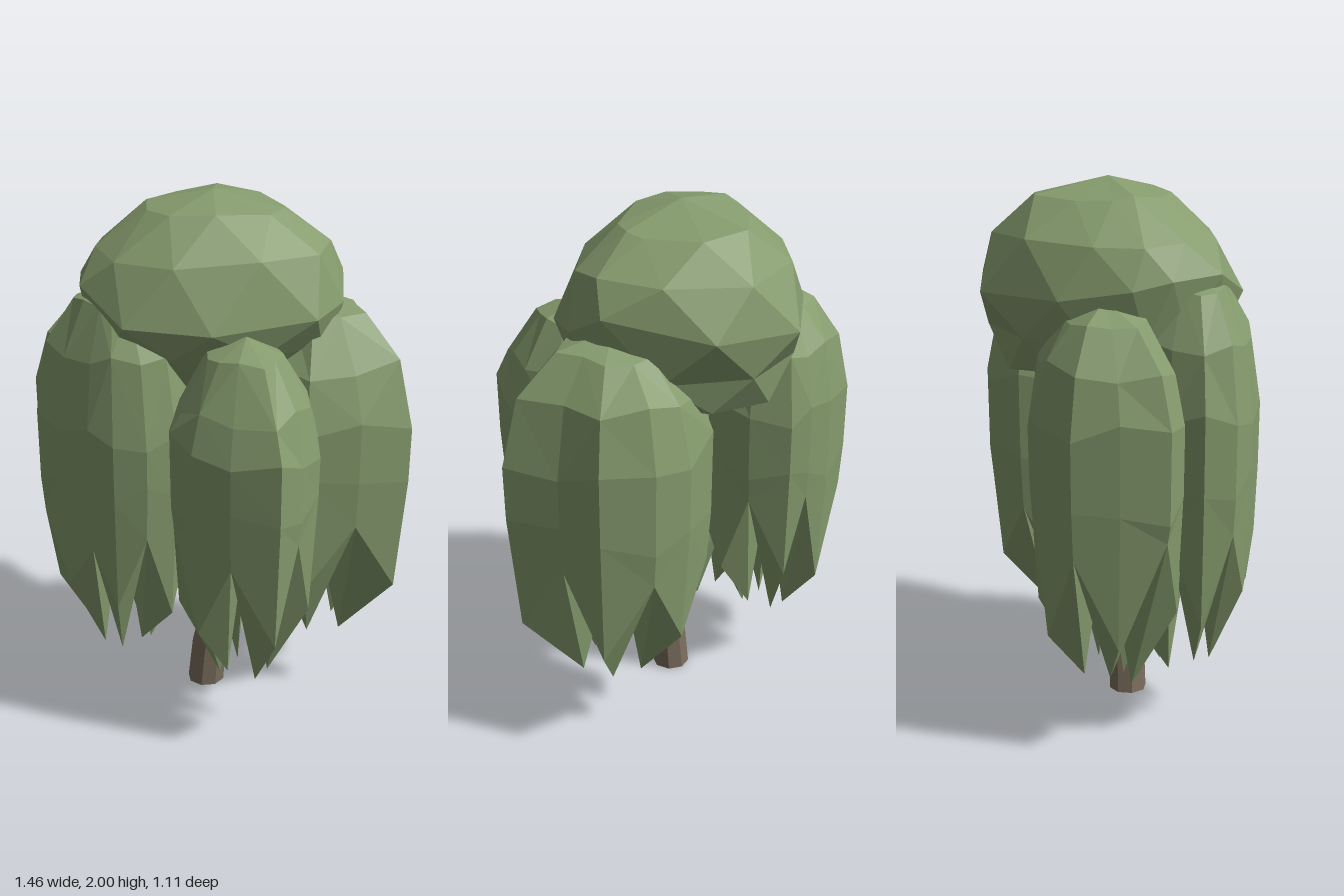
import * as THREE from 'three';

const leaf = new THREE.MeshStandardMaterial({ color: 0x869c6e, flatShading: true, side: THREE.DoubleSide });
leaf.name = 'willow green';
const bark = new THREE.MeshStandardMaterial({ color: 0x7c6f5e, flatShading: true });
bark.name = 'bark brown';

function mesh(name, geometry, material) {
  const m = new THREE.Mesh(geometry, material);
  m.name = name;
  return m;
}

function fromTriangles(tris) {
  const g = new THREE.BufferGeometry().setFromPoints(tris);
  g.computeVertexNormals();
  return g;
}

// Small repeatable unevenness
const wobble = (k) => Math.sin(k * 12.9898) * 0.5 + Math.sin(k * 4.137) * 0.5;

// Outline point scaled about a centre; a fractional index gives a point between corners
function ringPoint(outline, centre, i, y, s, dz = 0) {
  const n = outline.length;
  const a = outline[Math.floor(i) % n], b = outline[Math.ceil(i) % n], f = i % 1;
  const x = a[0] + (b[0] - a[0]) * f, z = a[1] + (b[1] - a[1]) * f;
  return new THREE.Vector3(centre[0] + (x - centre[0]) * s, y, centre[1] + (z - centre[1]) * s + dz);
}

// Rounded faceted cap: staggered rings around the outline, closed at both ends
function crown() {
  const outline = [[0.45, -0.05], [0.39, 0.12], [0.06, 0.33], [-0.25, 0.38], [-0.45, 0.24], [-0.51, 0.05],
    [-0.5, -0.09], [-0.4, -0.33], [-0.16, -0.56], [0.17, -0.5], [0.42, -0.19]];
  // Height added to the rim at each corner
  const lift = [0.02, 0, -0.02, 0, 0.1, 0.09, 0.06, 0.02, 0.02, 0.04, 0.1];
  const centre = [-0.03, -0.08], n = outline.length;
  const levels = [[1.94, 0.52, -0.02], [1.81, 0.89, -0.01], [1.6, 1, 0], [1.47, 0.93, -0.01], [1.33, 0.7, -0.04]];
  const rings = levels.map(([y, s, dz], r) => outline.map((_, i) =>
    ringPoint(outline, centre, i + (r % 2 ? 0.5 : 0), y + (r === 2 ? lift[i] : 0.015 * wobble(i + r * 7)), s, dz)));
  const top = new THREE.Vector3(-0.04, 2, -0.07), bottom = new THREE.Vector3(-0.02, 1.26, -0.18);
  const tris = [];
  for (let i = 0; i < n; i++) {
    const j = (i + 1) % n;
    tris.push(top, rings[0][j], rings[0][i]);
    for (let r = 0; r + 1 < rings.length; r++) {
      const u = rings[r], d = rings[r + 1];
      if (r % 2) tris.push(u[i], d[j], d[i], u[i], u[j], d[j]);
      else tris.push(u[i], u[j], d[i], u[j], d[j], d[i]);
    }
    tris.push(bottom, rings[4][i], rings[4][j]);
  }
  return mesh('crown', fromTriangles(tris), leaf);
}

// Hanging clump: domed top, straight sides and a hem of pointed fronds
function clump(name, topY, outline, seed) {
  const n = outline.length;
  const centre = [0, 1].map((k) => outline.reduce((sum, p) => sum + p[k], 0) / n);
  const at = (i, y, s) => ringPoint(outline, centre, i, y, s);
  const levels = [[topY - 0.06, 0.5, 0.015], [topY - 0.22, 0.85, 0.04], [1.2, 1, 0.06], [0.95, 0.99, 0.07]];
  const rings = levels.map(([y, s, rough], r) => outline.map((_, i) =>
    at(i, y + rough * wobble(seed + i + r * 5), s)));
  const top = new THREE.Vector3(centre[0], topY, centre[1]);
  const under = new THREE.Vector3(centre[0], 0.75, centre[1]);
  const tris = [];
  for (let i = 0; i < n; i++) {
    const j = (i + 1) % n;
    tris.push(top, rings[0][j], rings[0][i]);
    for (let r = 0; r + 1 < rings.length; r++) {
      const u = rings[r], d = rings[r + 1];
      if ((i + r) % 2) tris.push(u[i], u[j], d[j], u[i], d[j], d[i]);
      else tris.push(u[i], u[j], d[i], u[j], d[j], d[i]);
    }
  }
  // Fronds: each hangs between two notches, bulges outward, then tapers inward to a tip
  const side = rings[3];
  const notch = (i) => at(i, 0.79 + 0.08 * wobble(seed + i * 3), 0.95);
  for (let i = 0; i < n; i += 2) {
    const p = (i + n - 1) % n, q = i + 1;
    const a = notch(p), b = notch(q);
    const bulge = at(i, 0.48 + 0.07 * wobble(seed + i), 0.89);
    const tip = at(i, 0.24 + 0.05 * wobble(seed * 2 + i), 0.33);
    tris.push(side[p], side[i], a, side[i], bulge, a);
    tris.push(side[i], side[q], b, side[i], b, bulge);
    tris.push(a, bulge, tip, bulge, b, tip);
    tris.push(a, tip, under, tip, b, under);
  }
  return mesh(name, fromTriangles(tris), leaf);
}

// Trunk: tapered eight-sided post bending to one side
function trunk() {
  const g = new THREE.CylinderGeometry(0.05, 0.072, 1.3, 8, 8);
  g.translate(0, 0.65, 0);
  const p = g.attributes.position;
  for (let i = 0; i < p.count; i++) {
    p.setX(i, p.getX(i) - 0.055 + 0.11 * THREE.MathUtils.smoothstep(p.getY(i), 0, 0.7));
  }
  g.computeVertexNormals();
  return mesh('trunk', g, bark);
}

export function createModel() {
  const tree = new THREE.Group();
  tree.name = 'willowTree';
  tree.add(trunk(), crown());
  tree.add(clump('frontRightFoliage', 1.7, [[-0.07, 0.34], [-0.16, 0.41], [-0.28, 0.43], [-0.38, 0.41],
    [-0.52, 0.34], [-0.63, 0.25], [-0.645, 0.13], [-0.56, 0.02], [-0.42, -0.1], [-0.28, -0.15], [-0.1, -0.12], [-0.05, 0.1]], 1));
  tree.add(clump('frontFoliage', 1.57, [[0.445, 0.3], [0.41, 0.43], [0.36, 0.55], [0.18, 0.55],
    [0.03, 0.51], [-0.07, 0.43], [-0.11, 0.3], [-0.07, 0.12], [0.01, -0.06], [0.12, -0.1], [0.28, -0.03], [0.4, 0.15]], 2));
  tree.add(clump('leftFoliage', 1.63, [[0.725, -0.01], [0.56, 0.12], [0.38, 0.21], [0.22, 0.15],
    [0.11, 0.03], [0.05, -0.12], [0.03, -0.25], [0.08, -0.39], [0.25, -0.47], [0.4, -0.46], [0.57, -0.36], [0.62, -0.19]], 3));
  tree.add(clump('backRightFoliage', 1.62, [[-0.13, -0.18], [-0.14, -0.02], [-0.27, 0.07], [-0.44, 0.11],
    [-0.57, 0.09], [-0.73, -0.01], [-0.7, -0.18], [-0.65, -0.34], [-0.48, -0.42], [-0.37, -0.43], [-0.28, -0.42], [-0.18, -0.3]], 4));
  return tree;
}
